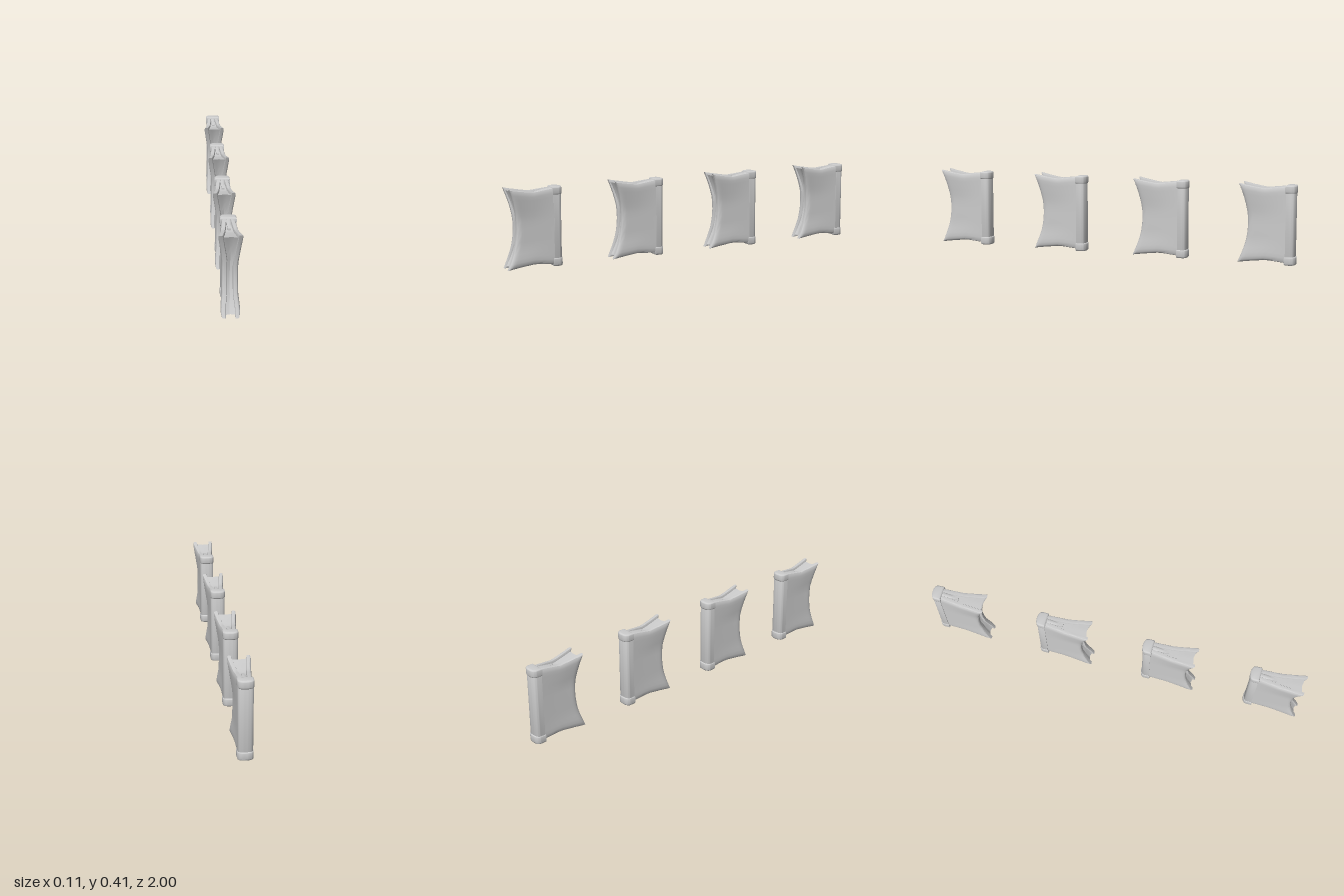
import * as THREE from 'three';
import { mergeVertices, toCreasedNormals } from 'three/addons/utils/BufferGeometryUtils.js';

const material = new THREE.MeshStandardMaterial({ color: 0xcccccc });
const { lerp, clamp } = THREE.MathUtils;

// Straight interpolation through [position, value] pairs
function profile(points, p) {
  for (let i = 1; i < points.length; i++) {
    const [a, va] = points[i - 1], [b, vb] = points[i];
    if (p <= b) return lerp(va, vb, clamp((p - a) / (b - a), 0, 1));
  }
  return points[points.length - 1][1];
}

// Outline of the book in side view; w is the distance from the back of the spine
const topEdge = [[0, 0.397], [0.06, 0.397], [0.16, 0.385], [0.23, 0.396], [0.295, 0.408]];
const bottomEdge = [[0, 0.01], [0.06, 0.012], [0.15, 0.021], [0.23, 0.012], [0.295, 0.003]];
const foreEdge = (v) => 0.244 + (v > 0.5 ? 0.043 : 0.051) * (2 * v - 1) ** 2;

// How far the front edge of each cover stands out, from bottom to top
const flareLeft = [[0, 0.044], [0.08, 0.045], [0.25, 0.036], [0.62, 0.036], [1, 0.061]];
const flareRight = [[0, 0.048], [0.08, 0.049], [0.25, 0.043], [0.68, 0.041], [1, 0.062]];
const outerX = (flare, u, v) => lerp(0.033, profile(flare, v), u ** 1.3);

// Box whose vertices are moved by place(a, u, v): a across, u back to front, v upward
function warpedBox(across, place) {
  const geometry = new THREE.BoxGeometry(1, 1, 1, across, 18, 18);
  const pos = geometry.attributes.position;
  const ease = (p) => 0.5 - 0.5 * Math.cos(Math.PI * p); // denser near the edges
  for (let i = 0; i < pos.count; i++) {
    const p = place(pos.getX(i) + 0.5, ease(pos.getZ(i) + 0.5), ease(pos.getY(i) + 0.5));
    pos.setXYZ(i, ...p);
  }
  geometry.deleteAttribute('normal');
  geometry.deleteAttribute('uv');
  return toCreasedNormals(mergeVertices(geometry), 0.6);
}

// Padded cover with a rounded rim and warped, flared front corners
function coverGeometry(side) {
  const flare = side > 0 ? flareLeft : flareRight;
  return warpedBox(4, (across, u, v) => {
    const a = side > 0 ? across : 1 - across; // 0 inside, 1 outside
    const w = lerp(0.025, foreEdge(v), u);
    const low = profile(bottomEdge, w), high = profile(topEdge, w);
    const y = lerp(low, high, v);
    const rim = Math.min((1 - u) * 0.24, y - low, high - y);
    const k = 1 - clamp(rim / 0.024, 0, 1);
    const round = 0.011 * (1 - Math.sqrt(1 - k * k));
    const outer = outerX(flare, u, v) - round * 0.9;
    const inner = outerX(flare, u, v) - 0.026 + round * 0.25;
    return [side * lerp(inner, outer, a), y, w];
  });
}

// Page block filling the gap, set back from the cover edges, with a shallow central fold
function pagesGeometry() {
  return warpedBox(6, (a, u, v) => {
    const w = lerp(0.03, foreEdge(v) - 0.01, u);
    const fold = 1 - Math.abs(2 * a - 1);
    const left = outerX(flareLeft, u, v) - 0.02, right = -outerX(flareRight, u, v) + 0.02;
    const y = lerp(profile(bottomEdge, w) + 0.012, profile(topEdge, w) - 0.012, v);
    return [lerp(right, left, a), y, w - 0.008 * fold * u];
  });
}

// Rounded U-shaped section extruded upward, used by the spine and its caps
function spineGeometry(halfWidth, back, front, y0, y1, bevel) {
  const h = halfWidth - bevel, b = -(back + bevel), f = -(front - bevel);
  const shape = new THREE.Shape();
  shape.moveTo(h, f);
  shape.lineTo(h, b - 0.016);
  shape.bezierCurveTo(h, b - 0.005, h * 0.6, b, 0, b);
  shape.bezierCurveTo(-h * 0.6, b, -h, b - 0.005, -h, b - 0.016);
  shape.lineTo(-h, f);
  const geometry = new THREE.ExtrudeGeometry(shape, {
    depth: y1 - y0 - 2 * bevel, bevelEnabled: true, bevelSize: bevel,
    bevelThickness: bevel, bevelSegments: 3, curveSegments: 8,
  });
  geometry.rotateX(-Math.PI / 2).translate(0, y0 + bevel, 0);
  geometry.deleteAttribute('uv');
  return toCreasedNormals(geometry, 0.7);
}

// Small tapered ridge lying on the page tops beside the spine
function ridgeGeometry() {
  return warpedBox(4, (a, u, v) => {
    const half = lerp(0.014, 0.007, u);
    const x = 2 * a - 1;
    const crown = 0.006 * Math.sqrt(1 - x * x) * (1 - u * u);
    return [x * half, lerp(0.366, lerp(0.394, 0.383, u) + crown, v), lerp(0.03, 0.14, u)];
  });
}

export function createModel() {
  const parts = {
    leftCover: coverGeometry(1),
    rightCover: coverGeometry(-1),
    pages: pagesGeometry(),
    spine: spineGeometry(0.0365, 0.004, 0.05, 0.015, 0.39, 0.004),
    topSpineCap: spineGeometry(0.039, 0, 0.054, 0.362, 0.404, 0.008),
    bottomSpineCap: spineGeometry(0.039, 0, 0.054, 0, 0.045, 0.008),
    ridge: ridgeGeometry(),
  };
  const model = new THREE.Group();
  model.name = 'bookRow';
  // Four identical books in a line
  for (let i = 0; i < 4; i++) {
    const book = new THREE.Group();
    book.name = `book${i + 1}`;
    for (const [name, geometry] of Object.entries(parts)) {
      const mesh = new THREE.Mesh(geometry, material);
      mesh.name = name;
      book.add(mesh);
    }
    book.position.z = -1 + i * 0.568;
    model.add(book);
  }
  return model;
}
